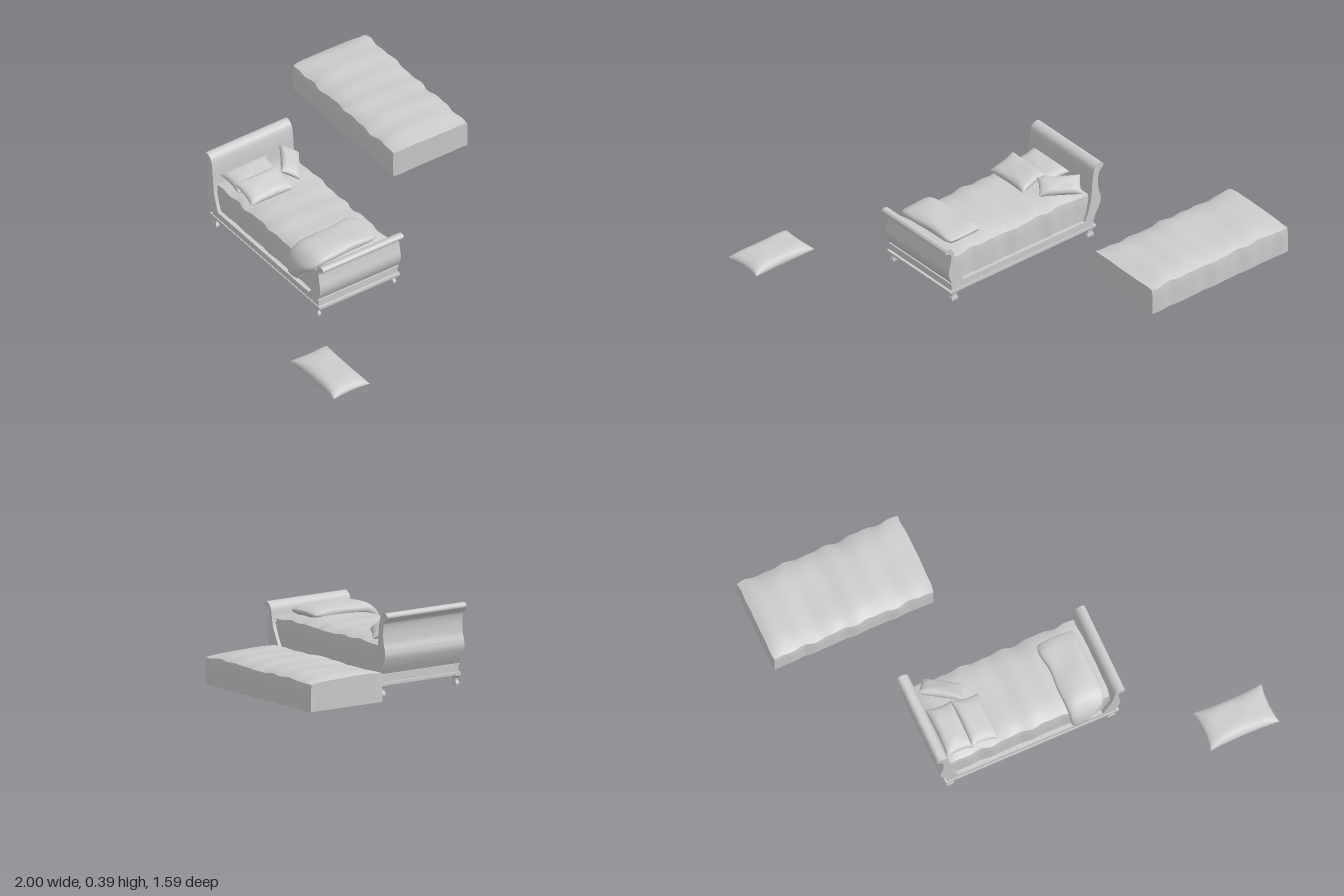
import * as THREE from 'three';
import { mergeVertices, mergeGeometries, toCreasedNormals } from 'three/addons/utils/BufferGeometryUtils.js';

const grey = new THREE.MeshStandardMaterial({ color: 0xcccccc });
const cloth = new THREE.MeshStandardMaterial({ color: 0xcccccc, side: THREE.DoubleSide });
const BED_Z = 0.207, BED_D = 0.45;

function add(parent, name, geometry, material = grey) {
  const mesh = new THREE.Mesh(geometry, material);
  mesh.name = name;
  parent.add(mesh);
  return mesh;
}

// Smooth surface from a rule (u, v in 0..1) -> [x, y, z]
function sheet(nu, nv, rule) {
  const g = new THREE.PlaneGeometry(1, 1, nu, nv);
  const p = g.attributes.position;
  for (let i = 0; i < p.count; i++) p.setXYZ(i, ...rule(p.getX(i) + 0.5, 0.5 - p.getY(i)));
  g.deleteAttribute('uv');
  g.deleteAttribute('normal');
  const merged = mergeVertices(g, 1e-5);
  merged.computeVertexNormals();
  return merged;
}

// Pillow: two puffed halves joined on a pinched, slightly concave seam
function pillow(parent, name, w, h, d, pos, rot = [0, 0, 0]) {
  const half = (side) => sheet(24, 20, (u, v) => {
    const a = side * Math.sin((u - 0.5) * Math.PI), b = Math.sin((v - 0.5) * Math.PI);
    const puff = Math.sqrt(Math.max(0, (1 - a ** 4) * (1 - b ** 4)));
    const crease = 1 + 0.05 * Math.sin(5 * a + 2) * Math.sin(4 * b);
    return [
      (w / 2) * a * (1 - 0.06 * (1 - b * b)),
      side * (h / 2) * puff * crease,
      (d / 2) * b * (1 - 0.08 * (1 - a * a)),
    ];
  });
  const mesh = add(parent, name, mergeGeometries([half(1), half(-1)]), cloth);
  mesh.position.set(...pos);
  mesh.rotation.set(...rot, 'YXZ');
}

// Bedspread: domed top and rippled walls, open underneath
function bedspread(parent, name, x, z) {
  const w = 0.8, d = 0.41;
  const g = new THREE.BoxGeometry(w, 1, d, 48, 6, 28);
  const bottom = g.groups[3], index = Array.from(g.index.array);
  index.splice(bottom.start, bottom.count);
  g.setIndex(index);
  g.clearGroups();
  const p = g.attributes.position;
  for (let i = 0; i < p.count; i++) {
    const px = p.getX(i), pz = p.getZ(i), k = p.getY(i) + 0.5;
    const u = px / (w / 2), v = pz / (d / 2);
    const dome = (1 - v ** 4) * (1 - 0.7 * u ** 8);
    const fold = 0.004 * Math.sin(px * 34 + 1) + 0.003 * Math.sin(px * 61 + v);
    p.setXYZ(i,
      px + v * v * 0.003 * Math.sin(pz * 50) * u + (u > 0 ? 0.006 * u ** 6 * (1 - v * v) * k : 0),
      0.1 + k * (0.13 + 0.026 * dome + 0.003 * Math.sin(px * 15 + pz * 9) + 0.002 * Math.sin(px * 47)),
      pz + v ** 5 * (fold * (0.4 + 0.6 * k) - 0.004 * k ** 6));
  }
  g.computeVertexNormals();
  add(parent, name, g, cloth).position.set(x, 0, z);
}

// Scrolled end board: full-profile posts with a thinner panel between them
function endBoard(parent, name, refX, dir, outline) {
  const group = new THREE.Group();
  group.name = name;
  parent.add(group);
  const slab = (label, pts, depth, z) => {
    const v = pts.map(([o, y]) => new THREE.Vector2(refX + dir * o, y));
    const shape = new THREE.Shape();
    shape.moveTo(v[0].x, v[0].y);
    shape.splineThru(v.slice(1));
    shape.closePath();
    const g = new THREE.ExtrudeGeometry(shape, { depth, bevelEnabled: false, curveSegments: 48 });
    g.translate(0, 0, z - depth / 2);
    add(group, label, toCreasedNormals(g, 0.6));
  };
  slab(name + 'Panel', outline.map(([o, y]) => [Math.max(o, 0.036), y]), BED_D - 0.036, BED_Z);
  for (const s of [-1, 1]) slab(name + 'Post', outline, 0.018, BED_Z + s * (BED_D / 2 - 0.009));
}

function box(parent, name, x0, x1, y0, y1, depth) {
  add(parent, name, new THREE.BoxGeometry(x1 - x0, y1 - y0, depth))
    .position.set((x0 + x1) / 2, (y0 + y1) / 2, BED_Z);
}

// Folded throw: rounded sections swept over the bed and down its front side
function foldedThrow(parent) {
  const stations = [ // x, y, z, half width, half thickness
    [0.205, 0.258, 0.06, 0.001, 0.001],
    [0.205, 0.262, 0.065, 0.085, 0.014],
    [0.205, 0.266, 0.11, 0.097, 0.024],
    [0.21, 0.266, 0.2, 0.09, 0.027],
    [0.21, 0.264, 0.3, 0.096, 0.029],
    [0.21, 0.254, 0.38, 0.094, 0.029],
    [0.2, 0.222, 0.422, 0.082, 0.024],
    [0.172, 0.175, 0.436, 0.052, 0.018],
    [0.165, 0.137, 0.434, 0.038, 0.014],
    [0.165, 0.122, 0.43, 0.001, 0.001],
  ];
  const path = new THREE.CatmullRomCurve3(stations.map((s) => new THREE.Vector3(s[0], s[1], s[2])));
  const size = new THREE.CatmullRomCurve3(stations.map((s) => new THREE.Vector3(s[3], s[4], 0)));
  const soft = (c) => Math.sign(c) * Math.abs(c) ** 0.75;
  const g = sheet(54, 32, (u, v) => {
    const c = path.getPoint(u), s = size.getPoint(u), t = path.getTangent(u);
    const a = v * Math.PI * 2;
    const wave = 1 + 0.12 * Math.sin(u * 17 + 3 * Math.cos(a));
    const across = s.x * soft(Math.cos(a)), up = s.y * soft(Math.sin(a)) * wave;
    const len = Math.hypot(t.y, t.z) || 1;
    return [c.x + across, c.y + (up * t.z) / len, c.z - (up * t.y) / len];
  });
  add(parent, 'foldedThrow', g, cloth);
}

export function createModel() {
  const model = new THREE.Group();
  model.name = 'bedSet';
  const bed = new THREE.Group();
  bed.name = 'bed';
  model.add(bed);

  // Base rails and mouldings
  box(bed, 'baseRail', -0.493, 0.349, 0.06, 0.1, BED_D - 0.01);
  box(bed, 'baseMoulding', -0.505, 0.362, 0.049, 0.062, BED_D);
  box(bed, 'railLip', -0.497, 0.353, 0.094, 0.1, BED_D - 0.002);

  // Square turned feet
  const footProfile = [[0, 0], [0.026, 0], [0.028, 0.01], [0.018, 0.022], [0.018, 0.032], [0.034, 0.045], [0.034, 0.05], [0, 0.05]]
    .map(([r, y]) => new THREE.Vector2(r, y));
  const footGeo = new THREE.LatheGeometry(footProfile, 4).rotateY(Math.PI / 4).scale(1, 1, 0.5);
  const flatFoot = footGeo.toNonIndexed();
  flatFoot.computeVertexNormals();
  for (const x of [-0.48, 0.325]) for (const z of [0, 0.418]) add(bed, 'foot', flatFoot).position.set(x, 0, z);

  // Scrolled boards: [outward distance, height]
  endBoard(bed, 'headboard', -0.44, -1, [
    [0.05, 0.1], [0.076, 0.145], [0.092, 0.185], [0.09, 0.215], [0.08, 0.25], [0.077, 0.3], [0.083, 0.34],
    [0.1, 0.36], [0.109, 0.375], [0.097, 0.389], [0.075, 0.387], [0.055, 0.367], [0.045, 0.32],
    [0.04, 0.26], [0.033, 0.2], [0.018, 0.145], [0, 0.1],
  ]);
  endBoard(bed, 'footboard', 0.28, 1, [
    [0.066, 0.1], [0.083, 0.135], [0.088, 0.17], [0.079, 0.215], [0.074, 0.25], [0.085, 0.27],
    [0.104, 0.275], [0.112, 0.287], [0.102, 0.3], [0.08, 0.296], [0.062, 0.275], [0.054, 0.235],
    [0.044, 0.19], [0.02, 0.14], [0, 0.1],
  ]);

  // Bedding on the bed, and the spare spread behind it
  bedspread(bed, 'mattress', -0.075, 0.206);
  bedspread(model, 'spareBedspread', -0.599, -0.584);
  foldedThrow(bed);

  // Pillows
  pillow(bed, 'backPillow', 0.14, 0.06, 0.25, [-0.41, 0.27, 0.267], [0, 0, -0.15]);
  pillow(bed, 'frontPillow', 0.145, 0.05, 0.24, [-0.29, 0.285, 0.28], [0, 0, -0.3]);
  pillow(bed, 'cornerPillow', 0.2, 0.045, 0.1, [-0.37, 0.282, 0.08], [-0.5, -0.58, 0]);
  pillow(model, 'sparePillow', 0.345, 0.07, 0.2, [0.825, 0.105, 0.7]);

  return model;
}
